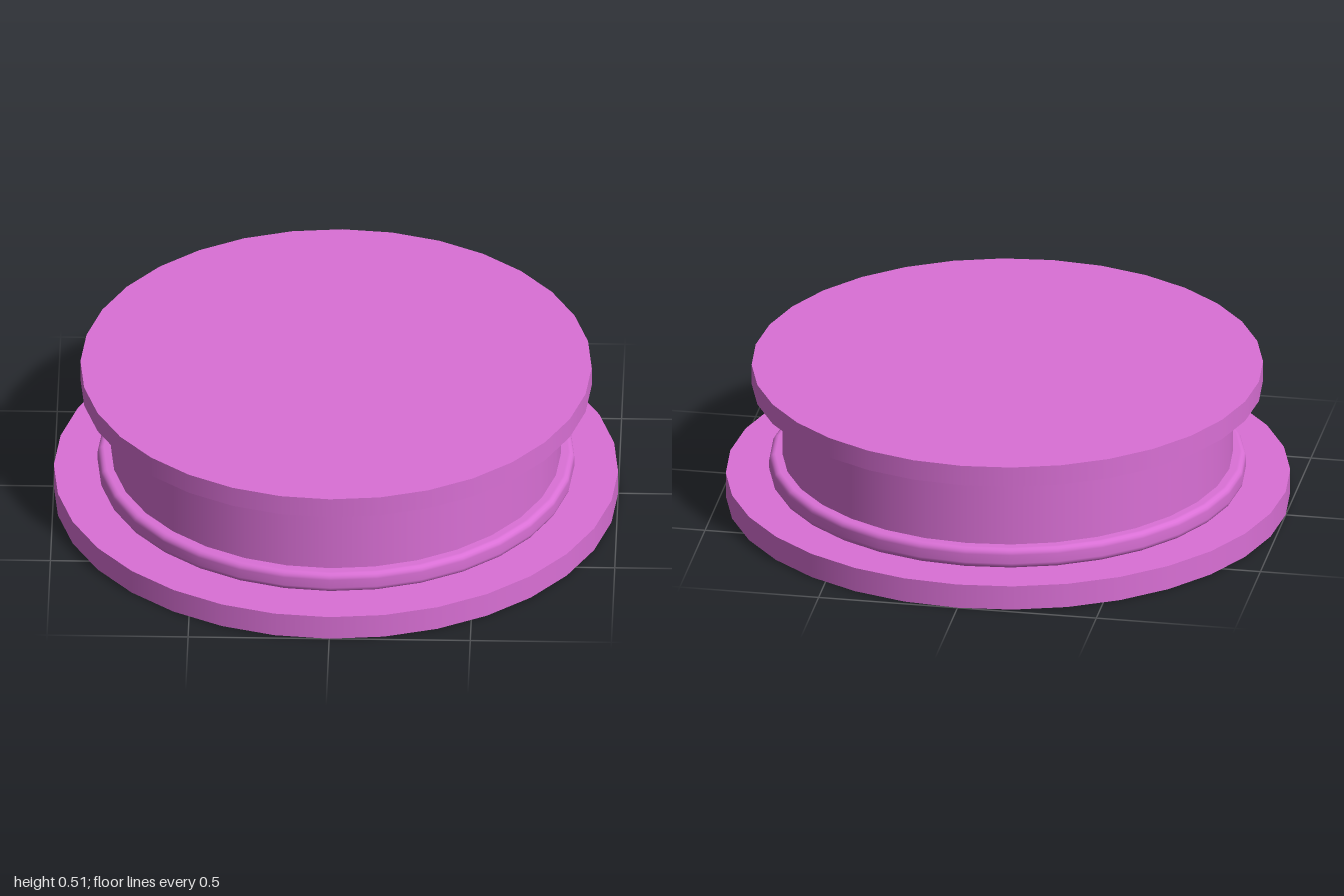
import * as THREE from 'three';

const SEGMENTS = 32;

export function createModel() {
  const model = new THREE.Group();
  model.name = 'flangedSpool';
  const material = new THREE.MeshStandardMaterial({ color: 0xda70d6 });

  function add(name, geometry, y, z = 0) {
    const mesh = new THREE.Mesh(geometry, material);
    mesh.name = name;
    mesh.position.set(0, y, z);
    model.add(mesh);
  }

  // Upright disc spanning two heights
  function disc(name, radius, bottom, top, z) {
    const geometry = new THREE.CylinderGeometry(radius, radius, top - bottom, SEGMENTS);
    add(name, geometry, (bottom + top) / 2, z);
  }

  disc('baseFlange', 1, 0, 0.09, 0);
  disc('body', 0.798, 0.08, 0.45, -0.006);
  disc('topFlange', 0.906, 0.44, 0.515, -0.013);

  // Rounded collar around the foot of the body
  const inner = 0.77, outer = 0.845, height = 0.076, round = 0.022;
  const profile = [new THREE.Vector2(inner, 0)];
  for (const [cy, start] of [[round, -Math.PI / 2], [height - round, 0]]) {
    for (let i = 0; i <= 4; i++) {
      const a = start + (i / 4) * (Math.PI / 2);
      profile.push(new THREE.Vector2(outer - round + round * Math.cos(a), cy + round * Math.sin(a)));
    }
  }
  profile.push(new THREE.Vector2(inner, height));
  add('collar', new THREE.LatheGeometry(profile, SEGMENTS), 0.089, -0.006);

  return model;
}
